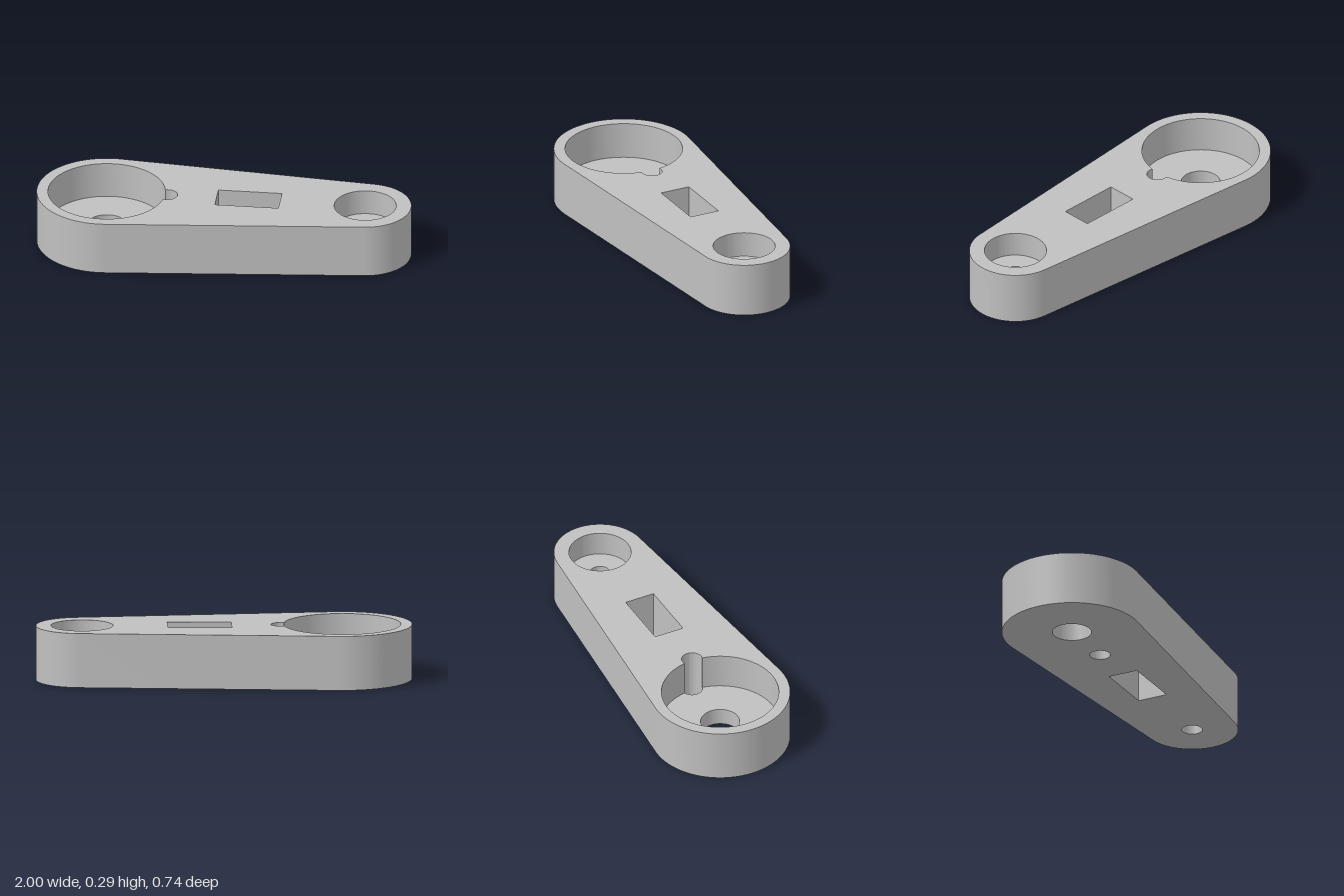
import * as THREE from 'three';
import { toCreasedNormals } from 'three/addons/utils/BufferGeometryUtils.js';

const HEIGHT = 0.292;
const BIG = { x: -0.628, outer: 0.372, pocket: 0.312, bore: 0.104, floor: 0.095 };
const SMALL = { x: 0.755, outer: 0.245, pocket: 0.165, bore: 0.055, floor: 0.155 };
const NOTCH = { x: -0.304, r: 0.055 };

const circle = (Type, x, r) => new Type().absarc(x, 0, r, 0, Math.PI * 2, false);

// Extrude a plan outline upwards from y = 0, keeping hard edges sharp
function slab(name, shape, height, material) {
  const geometry = new THREE.ExtrudeGeometry(shape, { depth: height, bevelEnabled: false, curveSegments: 64 });
  geometry.rotateX(-Math.PI / 2);
  const mesh = new THREE.Mesh(toCreasedNormals(geometry, 0.5), material);
  mesh.name = name;
  return mesh;
}

// Big pocket outline; the notch circle either widens it or bites into it
function pocketOutline(Type, notchOutwards) {
  const d = NOTCH.x - BIG.x;
  const a = (d * d + BIG.pocket ** 2 - NOTCH.r ** 2) / (2 * d);
  const h = Math.sqrt(BIG.pocket ** 2 - a * a);
  const onPocket = Math.atan2(h, a);
  const onNotch = Math.atan2(h, a - d);
  const path = new Type();
  path.absarc(BIG.x, 0, BIG.pocket, onPocket, Math.PI * 2 - onPocket, false);
  path.absarc(NOTCH.x, 0, NOTCH.r, -onNotch, onNotch, !notchOutwards);
  path.closePath();
  return path;
}

export function createModel() {
  const group = new THREE.Group();
  group.name = 'leverArm';
  const grey = new THREE.MeshStandardMaterial({ color: 0xc0c0c0 });
  grey.name = 'grey';

  // Tapered arm: two round ends joined by tangent sides
  const t = Math.acos((BIG.outer - SMALL.outer) / (SMALL.x - BIG.x));
  const arm = new THREE.Shape();
  arm.absarc(SMALL.x, 0, SMALL.outer, -t, t, false);
  arm.absarc(BIG.x, 0, BIG.outer, t, Math.PI * 2 - t, false);
  arm.closePath();

  // Rectangular slot through the middle
  const slot = new THREE.Path([[-0.04, -0.083], [0.3, -0.083], [0.3, 0.083], [-0.04, 0.083]]
    .map(([x, y]) => new THREE.Vector2(x, y)));
  slot.closePath();

  arm.holes.push(pocketOutline(THREE.Path, true), circle(THREE.Path, SMALL.x, SMALL.pocket), slot);
  group.add(slab('armBody', arm, HEIGHT, grey));

  // Pocket floors with their bores
  const bigFloor = pocketOutline(THREE.Shape, false);
  bigFloor.holes.push(circle(THREE.Path, BIG.x, BIG.bore));
  group.add(slab('bigPocketFloor', bigFloor, BIG.floor, grey));

  const smallFloor = circle(THREE.Shape, SMALL.x, SMALL.pocket);
  smallFloor.holes.push(circle(THREE.Path, SMALL.x, SMALL.bore));
  group.add(slab('smallPocketFloor', smallFloor, SMALL.floor, grey));

  return group;
}
